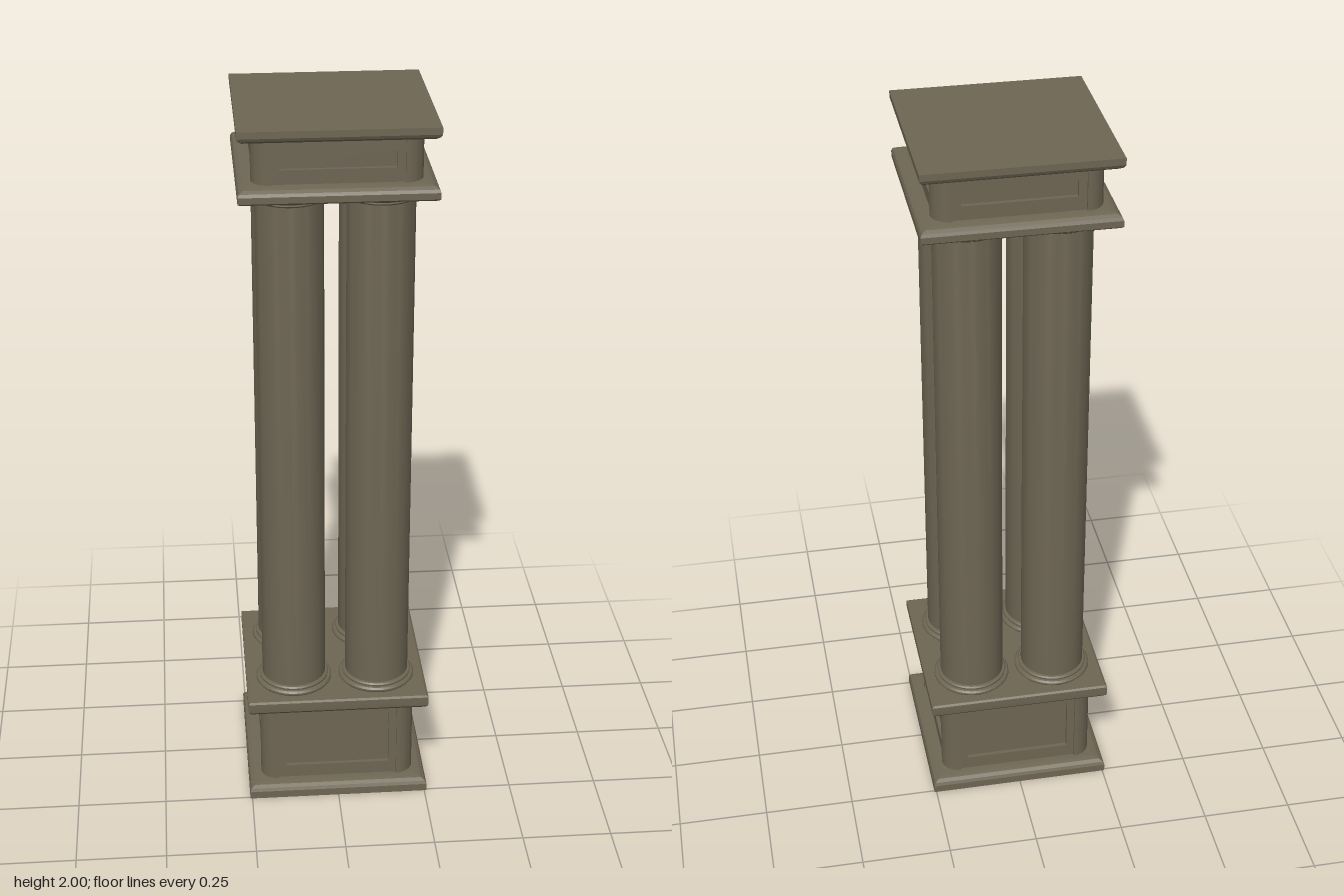
import * as THREE from 'three';
import { toCreasedNormals } from 'three/addons/utils/BufferGeometryUtils.js';

export function createModel() {
  const model = new THREE.Group();
  const stone = new THREE.MeshStandardMaterial({ color: 0x6e6654 });
  stone.name = 'brown stone';

  const add = (name, geometry, parent = model) => {
    const mesh = new THREE.Mesh(geometry, stone);
    mesh.name = name;
    parent.add(mesh);
    return mesh;
  };
  const toPoints = (list, k = 1) => list.map(([r, y]) => new THREE.Vector2(r * k, y));

  // Square moulded slab: a four-sided lathe, profile in half-widths
  const squareSlab = (name, profile) =>
    add(name, toCreasedNormals(
      new THREE.LatheGeometry(toPoints(profile, Math.SQRT2), 4, Math.PI / 4), 0.3));

  squareSlab('plinthFoot', [[0, 0], [0.256, 0], [0.256, 0.022], [0.252, 0.031], [0.242, 0.037], [0.225, 0.041], [0, 0.041]]);
  squareSlab('plinthCornice', [[0, 0.281], [0.235, 0.281], [0.248, 0.286], [0.255, 0.294], [0.256, 0.302], [0.256, 0.322], [0.25, 0.326], [0, 0.326]]);
  squareSlab('capitalCornice', [[0, 1.808], [0.25, 1.808], [0.256, 1.813], [0.256, 1.83], [0.252, 1.838], [0.242, 1.844], [0.225, 1.848], [0, 1.848]]);
  squareSlab('topCap', [[0, 1.962], [0.225, 1.962], [0.242, 1.967], [0.252, 1.974], [0.256, 1.982], [0.256, 2], [0, 2]]);

  // Panelled block: recessed core, rounded corner posts, framed panel on each side
  const panelBlock = (name, y0, y1, inner0, inner1) => {
    const block = new THREE.Group();
    block.name = name;
    model.add(block);
    const height = y1 - y0, mid = (y0 + y1) / 2;

    const core = add('recessedCore', new THREE.BoxGeometry(0.404, height, 0.404), block);
    core.position.y = mid;

    // Quarter-round post section in the +x +z corner
    const quarter = new THREE.Shape();
    quarter.moveTo(0.17, 0.17);
    quarter.lineTo(0.22, 0.17);
    quarter.absarc(0.17, 0.17, 0.05, 0, Math.PI / 2, false);
    quarter.lineTo(0.17, 0.17);
    const postGeo = toCreasedNormals(
      new THREE.ExtrudeGeometry(quarter, { depth: height, bevelEnabled: false, curveSegments: 8 }), 0.6);
    postGeo.rotateX(-Math.PI / 2);

    // Frame with a rectangular opening around the sunk panel
    const frame = new THREE.Shape();
    frame.moveTo(-0.17, y0);
    frame.lineTo(0.17, y0);
    frame.lineTo(0.17, y1);
    frame.lineTo(-0.17, y1);
    const hole = new THREE.Path();
    hole.moveTo(-0.148, inner0);
    hole.lineTo(-0.148, inner1);
    hole.lineTo(0.148, inner1);
    hole.lineTo(0.148, inner0);
    frame.holes.push(hole);
    const frameGeo = new THREE.ExtrudeGeometry(frame, { depth: 0.013, bevelEnabled: false });
    frameGeo.translate(0, 0, 0.2);

    for (let i = 0; i < 4; i++) {
      const angle = i * Math.PI / 2;
      const post = add('cornerPost', postGeo, block);
      post.position.y = y0;
      post.rotation.y = angle;
      add('panelFrame', frameGeo, block).rotation.y = angle;
    }
  };
  panelBlock('plinthBlock', 0.04, 0.283, 0.08, 0.247);
  panelBlock('capitalBlock', 1.846, 1.964, 1.886, 1.93);

  // Four round columns with ringed bases and capitals
  const columnGeo = toCreasedNormals(new THREE.LatheGeometry(toPoints([
    [0, 0.325], [0.104, 0.325], [0.108, 0.33], [0.108, 0.335], [0.104, 0.34],
    [0.098, 0.341], [0.099, 0.346], [0.096, 0.35], [0.09, 0.351],
    [0.09, 1.785], [0.096, 1.786], [0.099, 1.79], [0.098, 1.795],
    [0.104, 1.796], [0.108, 1.8], [0.108, 1.806], [0.104, 1.81], [0, 1.81],
  ]), 40), 0.6);
  for (const x of [-0.119, 0.119]) {
    for (const z of [-0.119, 0.119]) {
      add('column', columnGeo).position.set(x, 0, z);
    }
  }

  return model;
}
